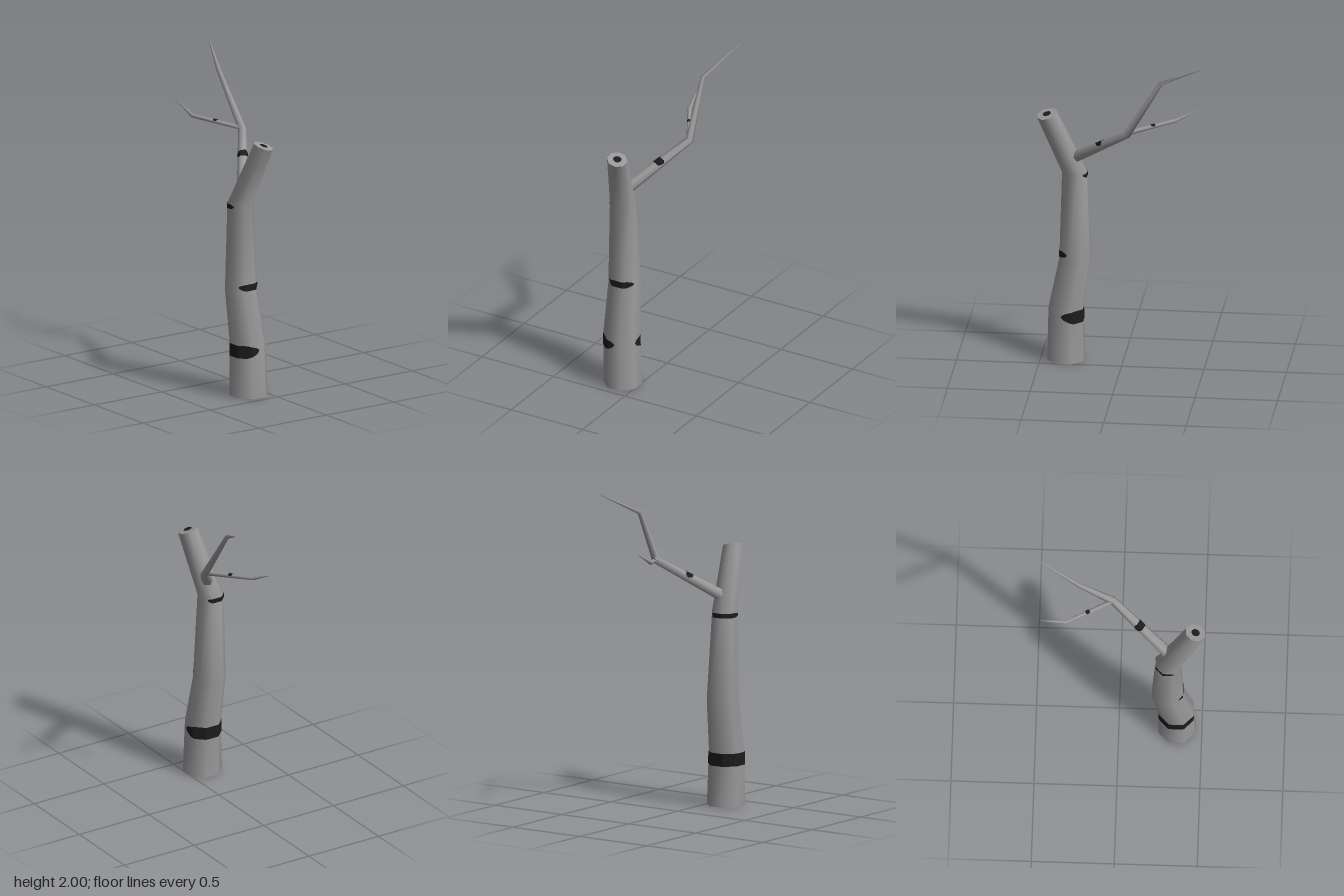
import * as THREE from 'three';

const UP = new THREE.Vector3(0, 1, 0);
const RAD = Math.PI / 180;

// Ring of a limb: centre, radius and the direction it faces
function ring(x, y, z, r, n) {
  return { c: new THREE.Vector3(x, y, z), r, n: n && new THREE.Vector3(...n).normalize() };
}

// Rings without a direction face along the averaged path
function orient(rings) {
  rings.forEach((g, i) => {
    if (!g.n) {
      g.n = new THREE.Vector3();
      if (i > 0) g.n.add(g.c.clone().sub(rings[i - 1].c).normalize());
      if (i < rings.length - 1) g.n.add(rings[i + 1].c.clone().sub(g.c).normalize());
      g.n.normalize();
    }
    g.q = new THREE.Quaternion().setFromUnitVectors(UP, g.n);
  });
  return rings;
}

// Point on a ring's polygon at angle a (0 faces front, flats face the axes)
function onRing(g, a, sides, lift = 0, radius = g.r) {
  const step = 2 * Math.PI / sides;
  const off = a - Math.round(a / step) * step;
  const r = radius * Math.cos(step / 2) / Math.cos(off) + lift;
  return new THREE.Vector3(Math.sin(a) * r, 0, Math.cos(a) * r).applyQuaternion(g.q).add(g.c);
}

function geometry(points, index) {
  const geo = new THREE.BufferGeometry().setFromPoints(points);
  geo.setIndex(index);
  geo.computeVertexNormals();
  return geo;
}

// Smooth skin through the rings
function limb(rings, sides) {
  const pts = [], idx = [];
  rings.forEach((g, j) => {
    for (let i = 0; i < sides; i++) {
      pts.push(onRing(g, (i + 0.5) * 2 * Math.PI / sides, sides));
      if (j === 0) continue;
      const k = (i + 1) % sides, lo = (j - 1) * sides, hi = j * sides;
      idx.push(lo + i, lo + k, hi + k, lo + i, hi + k, hi + i);
    }
  });
  return geometry(pts, idx);
}

// Flat disc closing a ring
function cap(g, sides, radius, lift, down) {
  const shift = g.n.clone().multiplyScalar(lift);
  const pts = [g.c.clone().add(shift)], idx = [];
  for (let i = 0; i < sides; i++) {
    pts.push(onRing(g, (i + 0.5) * 2 * Math.PI / sides, sides, 0, radius).add(shift));
    const a = 1 + i, b = 1 + (i + 1) % sides;
    idx.push(0, down ? b : a, down ? a : b);
  }
  return geometry(pts, idx);
}

// Thin bark mark between two rings: angles in degrees, heights as fractions, tapered ends
function mark(g0, g1, sides, a0, a1, t0, t1, taper = 0.15) {
  const pts = [], idx = [], n = 48;
  for (let i = 0; i <= n; i++) {
    const u = i / n, a = (a0 + (a1 - a0) * u) * RAD;
    const w = Math.sqrt(Math.min(1, Math.min(u, 1 - u) / taper));
    const mid = t0 + (t1 - t0) * 0.6;
    for (const t of [mid + (t0 - mid) * w, mid + (t1 - mid) * w]) {
      pts.push(onRing(g0, a, sides, 0.003).lerp(onRing(g1, a, sides, 0.003), t));
    }
    if (i < n) {
      const k = i * 2;
      idx.push(k, k + 2, k + 3, k, k + 3, k + 1);
    }
  }
  return geometry(pts, idx);
}

export function createModel() {
  const model = new THREE.Group();
  model.name = 'bareTree';
  const bark = new THREE.MeshStandardMaterial({ color: 0x999999 });
  bark.name = 'grey bark';
  const dark = new THREE.MeshStandardMaterial({ color: 0x1c1c1c, side: THREE.DoubleSide });
  dark.name = 'dark bark mark';
  const add = (name, geo, mat) => {
    const mesh = new THREE.Mesh(geo, mat);
    mesh.name = name;
    model.add(mesh);
  };

  // Trunk with a bent, sawn-off top
  const S = 8;
  const trunk = orient([
    ring(0.347, 0, 0.105, 0.118, [0, 1, 0]),
    ring(0.347, 0.335, 0.112, 0.111, [0, 1, 0]),
    ring(0.293, 0.65, 0.122, 0.1, [0, 1, 0]),
    ring(0.298, 1.195, 0.133, 0.079, [0, 1, 0]),
    ring(0.46, 1.572, 0.076, 0.063, [0.25, 1, -0.25]),
  ]);
  add('trunk', limb(trunk, S), bark);
  add('trunkBase', cap(trunk[0], S, trunk[0].r, 0, true), bark);
  add('trunkTop', cap(trunk[4], S, trunk[4].r, 0, false), bark);
  add('trunkTopHeart', cap(trunk[4], 10, 0.026, 0.003, false), dark);

  // Main branch, bending at the fork and ending in a point
  const B = 6;
  const branch = orient([
    ring(0.3, 1.288, 0.112, 0.038),
    ring(-0.045, 1.532, -0.13, 0.025),
    ring(-0.25, 1.86, -0.102, 0.014),
    ring(-0.515, 2.0, -0.212, 0.001),
  ]);
  add('mainBranch', limb(branch, B), bark);

  // Side twig leaving the fork
  const twig = orient([
    ring(-0.045, 1.54, -0.125, 0.014),
    ring(-0.325, 1.577, 0.036, 0.012),
    ring(-0.48, 1.652, 0.056, 0.001),
  ]);
  add('sideTwig', limb(twig, B), bark);

  // Dark bark marks
  add('lowerTrunkMark', mark(trunk[0], trunk[1], S, 168, 455, 0.75, 0.985), dark);
  add('middleTrunkMark', mark(trunk[2], trunk[3], S, 45, 155, 0.015, 0.09, 0.25), dark);
  add('upperTrunkMark', mark(trunk[2], trunk[3], S, 225, 388, 0.945, 0.997), dark);
  add('branchMark', mark(branch[0], branch[1], B, -30, 145, 0.49, 0.59), dark);
  add('twigMark', mark(twig[0], twig[1], B, 50, 190, 0.5, 0.58), dark);
  return model;
}
